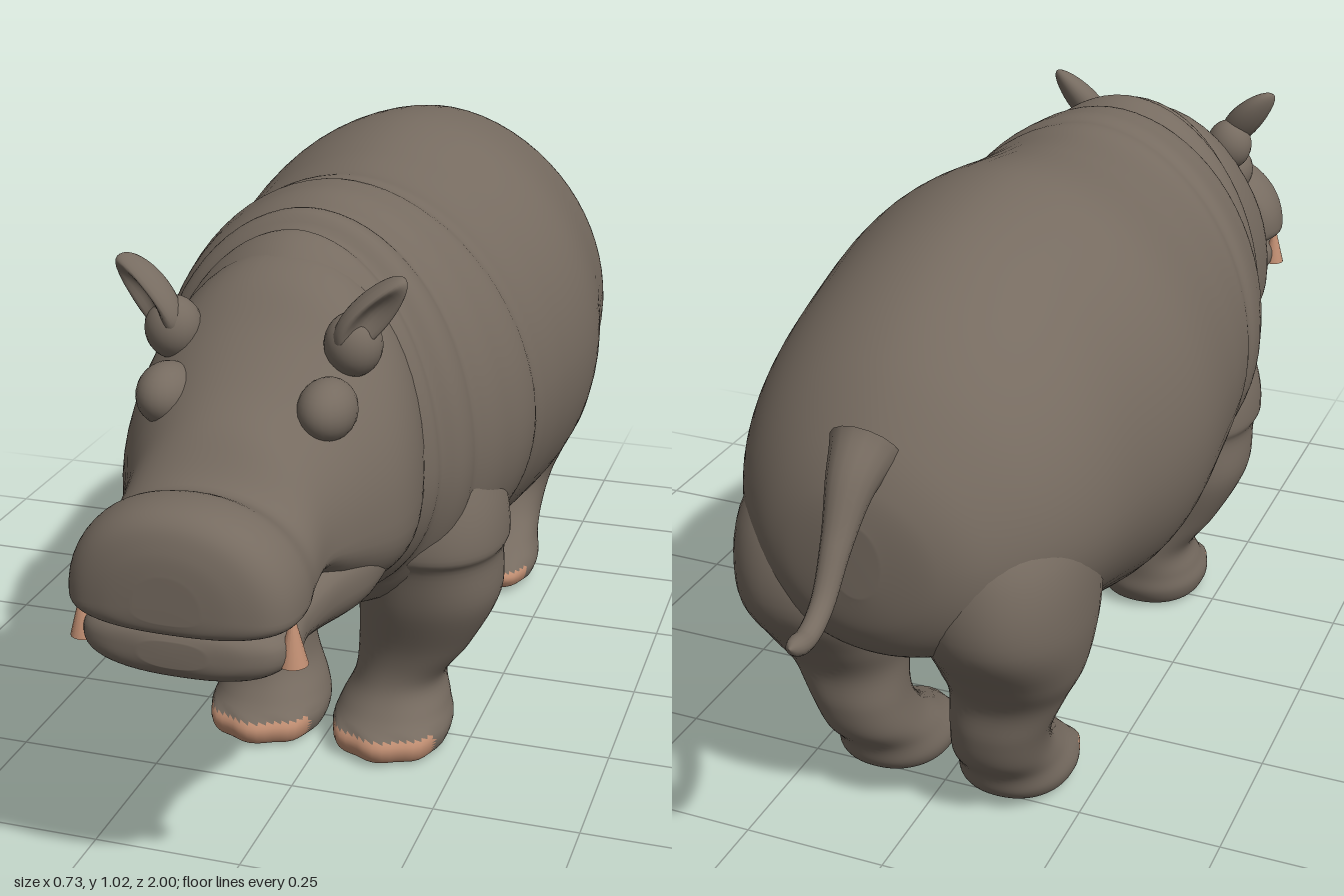
import * as THREE from 'three';

const hide = new THREE.MeshStandardMaterial({ color: 0x766b60 });
hide.name = 'hide';
const horn = new THREE.MeshStandardMaterial({ color: 0xc08e72 });
horn.name = 'toe and tusk';

// Catmull-Rom blend of section rows, adding `steps` rows between neighbours.
function refine(rows, steps) {
  const out = [];
  const at = i => rows[Math.min(Math.max(i, 0), rows.length - 1)];
  for (let i = 0; i < rows.length - 1; i++) {
    for (let k = 0; k < steps; k++) {
      const t = k / steps;
      out.push(rows[i].map((b, c) => {
        const a = at(i - 1)[c], d = at(i + 1)[c], e = at(i + 2)[c];
        return b + 0.5 * t * (d - a + t * (2 * a - 5 * b + 4 * d - e + t * (3 * (b - d) + e - a)));
      }));
    }
  }
  out.push(rows[rows.length - 1]);
  return out;
}

// Smooth closed skin over rings; ring(row, angle) gives a point.
// Faces whose centre passes isHorn get the second material.
function loft(name, rows, ring, steps = 6, sides = 48, isHorn = () => false) {
  const pts = [], faces = [[], []];
  const fine = refine(rows, steps);
  for (const row of fine)
    for (let j = 0; j < sides; j++) pts.push(ring(row, (j / sides) * Math.PI * 2));
  const centre = start => {
    const c = new THREE.Vector3();
    for (let j = 0; j < sides; j++) c.addScaledVector(pts[start + j], 1 / sides);
    return pts.push(c) - 1;
  };
  const last = (fine.length - 1) * sides;
  const c0 = centre(0), c1 = centre(last);
  const add = (a, b, c) => {
    const m = pts[a].clone().add(pts[b]).add(pts[c]).divideScalar(3);
    faces[isHorn(m) ? 1 : 0].push(a, b, c);
  };
  for (let j = 0; j < sides; j++) {
    const n = (j + 1) % sides;
    add(c0, n, j);
    add(c1, last + j, last + n);
    for (let r = 0; r < last; r += sides) {
      add(r + j, r + n, r + sides + j);
      add(r + n, r + sides + n, r + sides + j);
    }
  }
  const geo = new THREE.BufferGeometry().setFromPoints(pts);
  geo.setIndex([...faces[0], ...faces[1]]);
  geo.addGroup(0, faces[0].length, 0);
  geo.addGroup(faces[0].length, faces[1].length, 1);
  geo.computeVertexNormals();
  const mesh = new THREE.Mesh(geo, faces[1].length ? [hide, horn] : hide);
  mesh.name = name;
  return mesh;
}

const bump = (v, at, width) => Math.exp(-(((v - at) / width) ** 2));
const pow = (v, n) => Math.sign(v) * Math.abs(v) ** (2 / n);

// Ring across z; row = [z, halfWidth, top, widestY, bottom]
const crossRing = (nTop, nBottom, swell = () => 1) => ([z, w, top, mid, bottom], a) => {
  const c = Math.cos(a), s = Math.sin(a), n = s > 0 ? nTop : nBottom;
  const y = mid + pow(s, n) * (s > 0 ? top - mid : mid - bottom);
  const f = swell(z, y);
  return new THREE.Vector3(w * pow(c, n) * f, mid + (y - mid) * f, z);
};

// Skin folds round the neck and behind the shoulder
const folds = (z, y) => {
  const u = z + 0.25 * (y - 0.65) ** 2;
  return 1 - 0.035 * bump(u, 0.445, 0.014) + 0.02 * bump(u, 0.41, 0.025)
    - 0.025 * bump(u, 0.36, 0.016) + 0.012 * bump(u, 0.31, 0.03)
    - 0.014 * bump(z - 0.12 * (y - 0.5), 0.135, 0.016);
};

// Leg along y; row = [y, x, z, radiusX, radiusZ], with scalloped toes in front
function leg(name, side, rows, toeZ) {
  const ring = ([y, x, z, rx, rz], a) => {
    const c = Math.cos(a), f = -Math.sin(a);
    const toes = y < 0.06 && f > 0 ? 1 + 0.035 * f * Math.cos(8 * a) : 1;
    return new THREE.Vector3(side * x + rx * pow(c, 2.2) * toes, y, z + rz * pow(f, 2.2) * toes);
  };
  return loft(name, rows, ring, 6, 48, p => p.z > toeZ && p.y < 0.053 && p.y > 0.007);
}

function blob(name, x, y, z, rx, ry, rz) {
  const mesh = new THREE.Mesh(new THREE.SphereGeometry(1, 24, 16), hide);
  mesh.scale.set(rx, ry, rz);
  mesh.position.set(x, y, z);
  mesh.name = name;
  return mesh;
}

// Leaf-shaped ear, hollowed on its front face
function ear(side) {
  const geo = new THREE.SphereGeometry(1, 28, 20);
  const p = geo.attributes.position;
  for (let i = 0; i < p.count; i++) {
    const x = p.getX(i), y = p.getY(i), z = p.getZ(i);
    const taper = 0.85 - 0.2 * y;
    p.setXYZ(i, x * 0.034 * taper, y * 0.075, z * 0.038 * (z > 0 ? x * x + y * y : 1));
  }
  geo.computeVertexNormals();
  const mesh = new THREE.Mesh(geo, hide);
  mesh.position.set(side * 0.178, 0.9, 0.612);
  mesh.rotation.set(0.3, side * 0.5, side * -0.85);
  mesh.name = 'ear';
  return mesh;
}

function tail() {
  const curve = new THREE.CatmullRomCurve3([[0.77, -0.74], [0.735, -0.79], [0.66, -0.845], [0.585, -0.9],
    [0.56, -0.95], [0.57, -1]].map(([y, z]) => new THREE.Vector3(0, y, z)));
  const n = 36, m = 16;
  const geo = new THREE.TubeGeometry(curve, n, 1, m);
  const p = geo.attributes.position, v = new THREE.Vector3();
  for (let i = 0; i < p.count; i++) {
    const t = Math.floor(i / (m + 1)) / n, c = curve.getPointAt(t);
    const r = (0.017 + 0.04 * (1 - t) ** 3) * Math.sqrt(Math.min(1, (1 - t) * 14));
    v.fromBufferAttribute(p, i).sub(c).multiplyScalar(r).add(c);
    p.setXYZ(i, v.x, v.y, v.z);
  }
  geo.computeVertexNormals();
  const mesh = new THREE.Mesh(geo, hide);
  mesh.name = 'tail';
  return mesh;
}

export function createModel() {
  const model = new THREE.Group();
  model.name = 'hippopotamus';

  // Barrel body and neck
  model.add(loft('body', [
    [-0.795, 0.04, 0.66, 0.6, 0.54], [-0.78, 0.13, 0.72, 0.59, 0.47], [-0.74, 0.2, 0.79, 0.59, 0.41],
    [-0.66, 0.265, 0.875, 0.6, 0.37], [-0.55, 0.31, 0.945, 0.6, 0.34], [-0.4, 0.335, 1.0, 0.6, 0.29],
    [-0.2, 0.365, 1.025, 0.6, 0.235], [0, 0.35, 1.0, 0.6, 0.245], [0.12, 0.337, 0.99, 0.6, 0.27],
    [0.22, 0.33, 1.0, 0.6, 0.28], [0.32, 0.3, 0.985, 0.6, 0.285], [0.4, 0.27, 0.98, 0.6, 0.31],
    [0.47, 0.24, 0.96, 0.6, 0.36], [0.53, 0.2, 0.92, 0.6, 0.42],
  ], crossRing(1.9, 2.05, folds), 10, 72));

  // Skull, cheeks and square muzzle
  model.add(loft('head', [
    [0.42, 0.2, 0.92, 0.62, 0.42], [0.48, 0.225, 0.945, 0.61, 0.41], [0.55, 0.237, 0.92, 0.59, 0.42],
    [0.62, 0.23, 0.86, 0.58, 0.44], [0.7, 0.195, 0.8, 0.58, 0.485], [0.77, 0.167, 0.755, 0.58, 0.53],
    [0.84, 0.167, 0.695, 0.57, 0.525], [0.9, 0.177, 0.71, 0.565, 0.52], [0.95, 0.17, 0.708, 0.56, 0.52],
    [0.98, 0.145, 0.69, 0.56, 0.525], [0.995, 0.1, 0.655, 0.565, 0.535], [1.0, 0.05, 0.62, 0.57, 0.55],
  ], crossRing(2.1, 2.6), 6, 56));
  model.add(loft('lowerJaw', [
    [0.48, 0.14, 0.58, 0.52, 0.43], [0.56, 0.2, 0.6, 0.53, 0.425], [0.65, 0.2, 0.58, 0.51, 0.408],
    [0.74, 0.165, 0.56, 0.5, 0.41], [0.82, 0.152, 0.55, 0.49, 0.43], [0.9, 0.162, 0.545, 0.495, 0.44],
    [0.95, 0.15, 0.54, 0.495, 0.445], [0.975, 0.11, 0.53, 0.495, 0.46], [0.985, 0.05, 0.515, 0.495, 0.475],
  ], crossRing(2.6, 2.4)));
  model.add(tail());

  for (const side of [1, -1]) {
    const label = side > 0 ? 'left' : 'right';
    // Ears with fleshy bases, brows and tusks
    model.add(ear(side));
    model.add(blob('earBase', side * 0.145, 0.845, 0.595, 0.045, 0.05, 0.045));
    model.add(blob('brow', side * 0.128, 0.765, 0.67, 0.045, 0.048, 0.06));
    const tusk = new THREE.Mesh(new THREE.ConeGeometry(0.022, 0.085, 16), horn);
    tusk.position.set(side * 0.16, 0.52, 0.925);
    tusk.name = 'tusk';
    model.add(tusk);

    model.add(leg(label + 'FrontLeg', side, [
      [0.005, 0.115, 0.285, 0.08, 0.09], [0.015, 0.115, 0.285, 0.097, 0.112], [0.045, 0.115, 0.28, 0.105, 0.124],
      [0.08, 0.115, 0.262, 0.095, 0.108], [0.13, 0.122, 0.247, 0.08, 0.098], [0.2, 0.15, 0.252, 0.1, 0.1],
      [0.3, 0.178, 0.265, 0.122, 0.125], [0.385, 0.182, 0.275, 0.122, 0.135], [0.42, 0.182, 0.28, 0.133, 0.148],
      [0.5, 0.178, 0.28, 0.125, 0.135], [0.62, 0.165, 0.28, 0.09, 0.09],
    ], 0.34));
    model.add(leg(label + 'HindLeg', side, [
      [0.015, 0.115, -0.42, 0.08, 0.088], [0.025, 0.115, -0.425, 0.092, 0.108], [0.05, 0.115, -0.435, 0.098, 0.122],
      [0.09, 0.115, -0.475, 0.088, 0.098], [0.14, 0.12, -0.525, 0.082, 0.088], [0.2, 0.13, -0.55, 0.085, 0.081],
      [0.27, 0.145, -0.55, 0.1, 0.09], [0.34, 0.155, -0.56, 0.122, 0.125], [0.45, 0.16, -0.575, 0.135, 0.185],
      [0.58, 0.155, -0.57, 0.13, 0.18], [0.7, 0.13, -0.55, 0.09, 0.12],
    ], -0.38));
  }
  return model;
}
